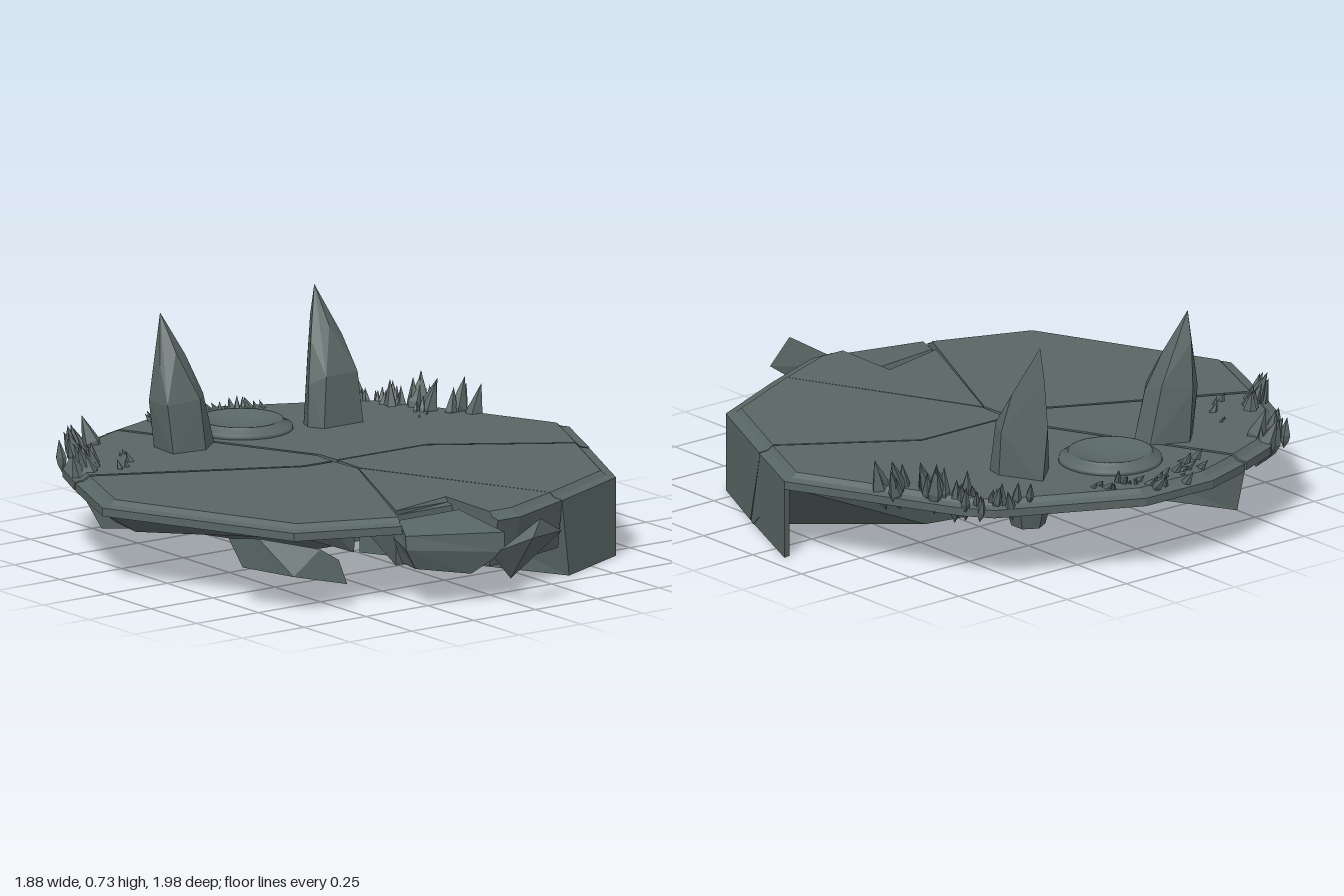
import * as THREE from 'three';
import { ConvexGeometry } from 'three/addons/geometries/ConvexGeometry.js';

const stone = new THREE.MeshStandardMaterial({ color: 0x586664 });
stone.name = 'slateStone';

let seed = 7;
const rnd = (a = 0, b = 1) => {
  seed = (seed * 16807) % 2147483647;
  return a + (b - a) * seed / 2147483647;
};

// Solid through matching outlines, listed bottom to top; each point is [x, y, z]
function loft(layers, topCap = true) {
  const flat = l => l.map(p => new THREE.Vector2(p[0], p[2]));
  if (THREE.ShapeUtils.area(flat(layers[layers.length - 1])) < 0) layers = layers.map(l => [...l].reverse());
  const pos = [], tri = (a, b, c) => pos.push(...a, ...b, ...c);
  const n = layers[0].length, low = layers[0], top = layers[layers.length - 1];
  for (const [a, b, c] of THREE.ShapeUtils.triangulateShape(flat(low), [])) tri(low[a], low[b], low[c]);
  if (topCap) for (const [a, b, c] of THREE.ShapeUtils.triangulateShape(flat(top), [])) tri(top[a], top[c], top[b]);
  for (let k = 0; k + 1 < layers.length; k++) {
    for (let i = 0; i < n; i++) {
      const j = (i + 1) % n, A = layers[k], B = layers[k + 1];
      tri(A[i], B[j], A[j]);
      tri(A[i], B[i], B[j]);
    }
  }
  const g = new THREE.BufferGeometry();
  g.setAttribute('position', new THREE.Float32BufferAttribute(pos, 3));
  g.computeVertexNormals();
  return g;
}

const at = (pts, y) => pts.map(([x, z]) => [x, y, z]);

// Slab with a stepped rim on its outer edge only
function slab(inner, outer, yBottom, bottomOuter = outer) {
  const ring = (s, y) => at([...inner, ...outer.map(([x, z]) => [x * s, -0.09 + (z + 0.09) * s])], y);
  return loft([at([...inner, ...bottomOuter], yBottom), ring(1, 0.262), ring(0.965, 0.268), ring(0.945, 0.283)]);
}

// Thin wall along a path, hanging from y = 0.24 to the ground and thickened towards a centre
function wall(topPath, bottomPath, [cx, cz]) {
  const band = path => [...path, ...path.map(([x, z]) => [cx + (x - cx) * 0.94, cz + (z - cz) * 0.94]).reverse()];
  return loft([at(band(bottomPath), 0), at(band(topPath), 0.24)], false);
}

const hull = pts => new ConvexGeometry(pts.map(p => new THREE.Vector3(...p)));

export function createModel() {
  const model = new THREE.Group();
  const add = (name, geo, parent = model) => {
    const m = new THREE.Mesh(geo, stone);
    m.name = name;
    parent.add(m);
    return m;
  };

  // Cracked platform slabs
  add('rightSlab', slab([[0.005, 0.03], [0.01, -0.096], [0.365, -0.096]],
    [[0.817, 0.188], [0.65, 0.56], [0.322, 0.712]], 0.235));
  add('backSlab', slab([[0.37, -0.102], [0.01, -0.102], [0.01, -0.19]],
    [[-0.33, -0.905], [-0.14, -0.97], [0.14, -0.97], [0.6, -0.75], [0.67, -0.66], [0.94, -0.09], [0.822, 0.182]], 0.235));
  add('leftBackSlab', slab([[-0.005, -0.19], [-0.01, -0.1], [-0.13, -0.102]],
    [[-0.807, -0.432], [-0.73, -0.6], [-0.5, -0.83], [-0.343, -0.897]], 0.235));
  add('leftSlab', slab([[-0.003, 0.03], [-0.01, -0.088], [-0.13, -0.09]],
    [[-0.813, -0.418], [-0.945, -0.09], [-0.65, 0.56], [-0.31, 0.69]], 0.235));
  add('frontSlab', slab([[-0.25, 0.575], [0, 0.03]],
    [[0.32, 0.712], [0.08, 0.81], [-0.01, 0.81], [-0.005, 0.55]], 0.1,
    [[0.32, 0.69], [0.08, 0.76], [-0.01, 0.76], [-0.005, 0.57]]));

  // Deep walls under the hollow right side
  add('rightWall', wall([[0.817, 0.188], [0.65, 0.56], [0.322, 0.712], [0.005, 0.03]],
    [[0.782, 0.275], [0.65, 0.56], [0.365, 0.69], [0.005, 0.03]], [0.45, 0.27]));
  add('rightEndWall', wall([[0.94, -0.09], [0.82, 0.184]], [[0.94, -0.09], [0.785, 0.268]], [0.5, 0]));

  // Broken rock wedges below the seams, open where they join the slabs
  add('rightSeamWedge', loft([
    at([[0.37, -0.096], [0.01, -0.096], [0.01, -0.19], [0.1, -0.17], [0.37, -0.12], [0.8, 0.24], [0.785, 0.268]], 0),
    at([[0.37, -0.096], [0.01, -0.096], [0.01, -0.19], [0.3, -0.2], [0.5, -0.17], [0.93, -0.09], [0.818, 0.184]], 0.24)], false));
  add('leftBackWedge', loft([
    [[-0.005, 0.08, -0.19], [-0.02, 0.08, -0.11], [-0.13, 0.08, -0.11], [-0.72, 0.1, -0.4], [-0.55, 0.16, -0.5], [-0.42, 0.13, -0.65], [-0.35, 0.08, -0.84]],
    at([[-0.005, -0.19], [-0.02, -0.102], [-0.13, -0.102], [-0.79, -0.43], [-0.62, -0.55], [-0.48, -0.7], [-0.343, -0.89]], 0.24)], false));
  add('leftSeamWedge', loft([
    [[-0.01, 0, 0.02], [-0.01, 0, -0.088], [-0.11, 0, -0.088], [-0.22, 0.08, -0.14], [-0.7, 0.13, -0.36], [-0.73, 0.13, -0.2], [-0.22, 0.08, 0.04]],
    at([[-0.01, 0.03], [-0.01, -0.088], [-0.13, -0.09], [-0.24, -0.142], [-0.81, -0.414], [-0.935, -0.09], [-0.3, 0.1]], 0.24)], false));

  // Pieces breaking off the front and left edges
  add('frontChunk', loft([
    [[-0.3, 0.13, 0.75], [-0.12, 0.1, 0.81], [-0.06, 0.1, 0.62], [-0.26, 0.12, 0.62]],
    [[-0.345, 0.2, 0.76], [-0.025, 0.17, 0.865], [-0.012, 0.17, 0.555], [-0.275, 0.2, 0.595]],
    [[-0.34, 0.245, 0.75], [-0.022, 0.235, 0.86], [-0.018, 0.26, 0.605], [-0.275, 0.265, 0.625]]]));
  add('frontShard', hull([[0.05, 0.29, 0.96], [0.165, 0.225, 0.92], [-0.01, 0.24, 1], [-0.1, 0.17, 0.91], [-0.03, 0.09, 0.905], [-0.1, 0.2, 0.94]]));
  add('leftShard', hull([[-0.76, 0.22, 0.35], [-0.72, 0.235, 0.46], [-0.56, 0.2, 0.58], [-0.74, 0.13, 0.4],
    [-0.66, 0.12, 0.57], [-0.48, 0.08, 0.62], [-0.5, 0.16, 0.6]]));

  // Two tall standing stones with roots under the slab
  add('rightStone', hull([
    [0.2, 0.27, -0.52], [0.23, 0.27, -0.47], [0.39, 0.27, -0.47], [0.4, 0.27, -0.53], [0.33, 0.27, -0.67], [0.22, 0.27, -0.57],
    [0.212, 0.42, -0.53], [0.25, 0.45, -0.485], [0.38, 0.45, -0.49], [0.398, 0.43, -0.54], [0.31, 0.46, -0.672],
    [0.25, 0.56, -0.57], [0.37, 0.56, -0.56], [0.31, 0.6, -0.55], [0.31, 0.62, -0.655], [0.308, 0.725, -0.63]]));
  add('leftStone', hull([
    [-0.37, 0.27, -0.48], [-0.25, 0.27, -0.465], [-0.16, 0.27, -0.54], [-0.17, 0.27, -0.61], [-0.29, 0.27, -0.67], [-0.36, 0.27, -0.6],
    [-0.38, 0.44, -0.5], [-0.26, 0.45, -0.485], [-0.2, 0.45, -0.55], [-0.215, 0.48, -0.62], [-0.3, 0.46, -0.675], [-0.382, 0.44, -0.6],
    [-0.36, 0.56, -0.57], [-0.25, 0.58, -0.58], [-0.31, 0.6, -0.55], [-0.31, 0.62, -0.655], [-0.315, 0.72, -0.63]]));
  for (const [name, x, k] of [['rightStoneRoot', 0.3, 1.25], ['leftStoneRoot', -0.2, 0.55]]) {
    const root = new THREE.CylinderGeometry(0.08 * k, 0.045 * k, 0.15, 6).toNonIndexed();
    root.computeVertexNormals();
    add(name, root).position.set(x, 0.175, -0.56);
  }

  // Shallow round basin set through the slab
  const profile = [[0, 0.23], [0.15, 0.23], [0.15, 0.28], [0.17, 0.28], [0.168, 0.294], [0.142, 0.304], [0.138, 0.316],
    [0.13, 0.316], [0.09, 0.302], [0.045, 0.294], [0, 0.291]].map(p => new THREE.Vector2(...p));
  add('basin', new THREE.LatheGeometry(profile, 40)).position.set(0.02, 0, -0.64);

  // Small crystals growing around the back rim, leaning outwards
  const crystals = new THREE.Group();
  crystals.name = 'rimCrystals';
  model.add(crystals);
  const crystalGeo = new THREE.LatheGeometry(
    [[0, -0.5], [0.15, -0.25], [0.19, -0.05], [0.1, 0.22], [0, 0.5]].map(p => new THREE.Vector2(...p)), 5).toNonIndexed();
  crystalGeo.computeVertexNormals();
  const crystal = (x, y, z, h, lean) => {
    const c = add('crystal', crystalGeo, crystals);
    c.position.set(x, y, z);
    c.scale.set(h * 0.75, h, h);
    c.rotation.set(lean + rnd(-0.2, 0.2), Math.atan2(x, z) + rnd(-0.5, 0.5), 0, 'YXZ');
  };
  // Clusters run along each line: [x0, z0, x1, z1, count, spread, height]
  const runs = [
    [0.5, -0.77, 0.64, -0.68, 12, 0.025, 0.13], [0.6, -0.64, 0.76, -0.38, 18, 0.035, 0.18],
    [0.57, -0.42, 0.66, -0.5, 4, 0.03, 0.08],
    [-0.62, -0.72, -0.5, -0.78, 10, 0.025, 0.17], [-0.75, -0.47, -0.66, -0.54, 10, 0.03, 0.17],
    [-0.66, -0.4, -0.48, -0.58, 5, 0.03, 0.08]];
  for (const [x0, z0, x1, z1, n, spread, h] of runs) {
    for (let i = 0; i < n; i++) {
      const t = i / (n - 1);
      crystal(x0 + (x1 - x0) * t + rnd(-spread, spread), 0.285 + rnd(-0.03, 0.02),
        z0 + (z1 - z0) * t + rnd(-spread, spread), h * rnd(0.6, 1.1), 0.3);
    }
  }
  // Arc of small crystals behind the basin
  for (let i = 0; i < 26; i++) {
    const a = Math.PI * (0.18 + 0.64 * i / 25), r = rnd(0.23, 0.34);
    crystal(0.02 + Math.cos(a) * r * 0.8, 0.28 + rnd(-0.01, 0.01), -0.64 - Math.sin(a) * r, rnd(0.06, 0.1), 0.7);
  }
  return model;
}
